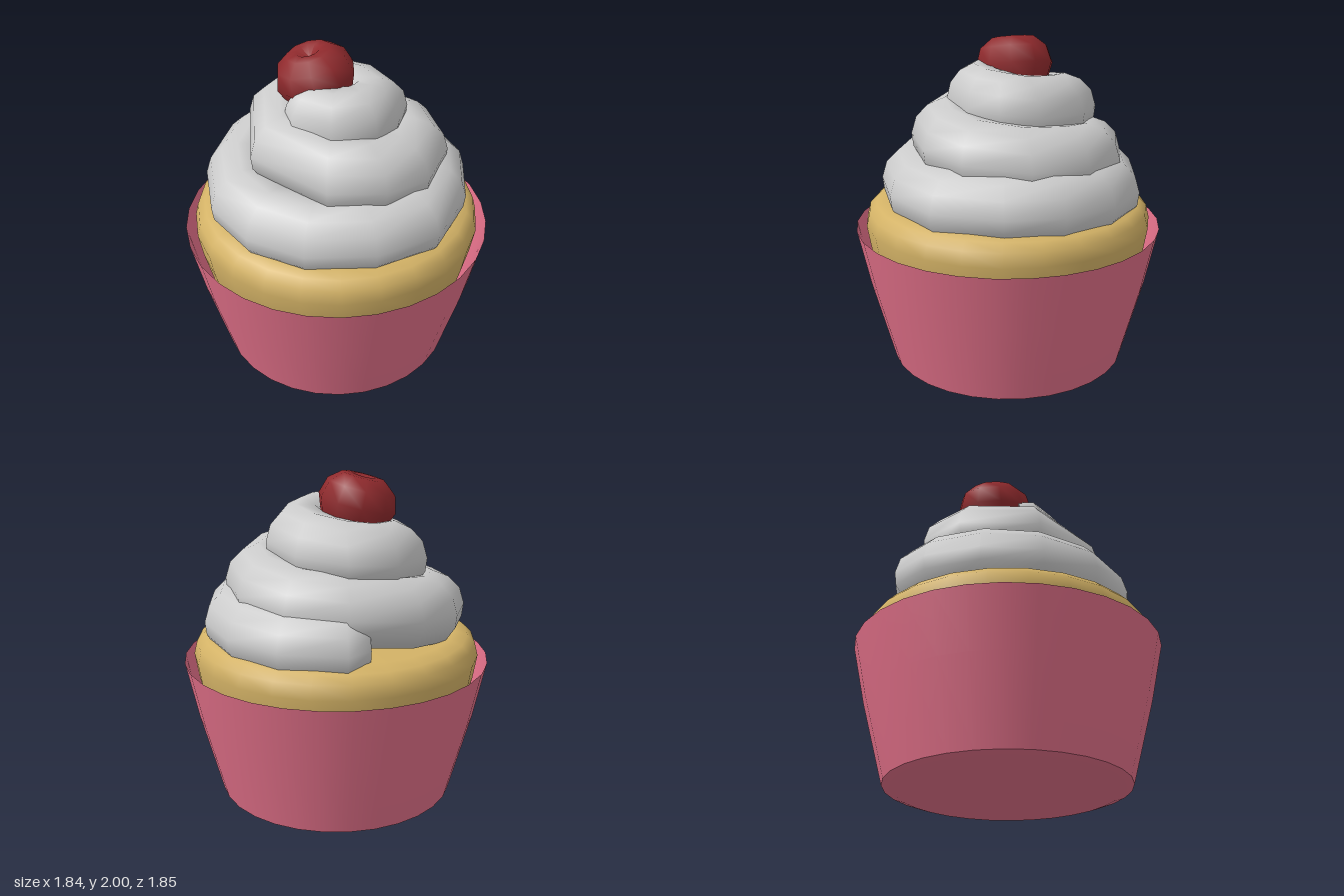
import * as THREE from 'three';
import { toCreasedNormals } from 'three/addons/utils/BufferGeometryUtils.js';

const material = (color) => new THREE.MeshStandardMaterial({ color, side: THREE.DoubleSide });

function lathe(name, points, sides, color, crease) {
  let geometry = new THREE.LatheGeometry(points.map(([r, y]) => new THREE.Vector2(r, y)), sides);
  if (crease) geometry = toCreasedNormals(geometry, crease);
  const mesh = new THREE.Mesh(geometry, material(color));
  mesh.name = name;
  return mesh;
}

// Outer edge of the piped swirl: x, z, height of the widest point
const SWIRL = [
  [-0.12, -0.69, 1.1], [0.02, -0.8, 1.1], [0.4, -0.7, 1.1], [0.66, -0.46, 1.11], [0.79, -0.14, 1.12],
  [0.76, 0.2, 1.12], [0.56, 0.57, 1.12], [0.2, 0.74, 1.12], [-0.2, 0.74, 1.12], [-0.52, 0.58, 1.13],
  [-0.73, 0.3, 1.14], [-0.78, -0.05, 1.16], [-0.66, -0.39, 1.19], [-0.42, -0.62, 1.23], [0, -0.71, 1.27],
  [0.35, -0.59, 1.29], [0.59, -0.33, 1.32], [0.66, 0.02, 1.34], [0.51, 0.38, 1.37], [0.26, 0.55, 1.4],
  [-0.07, 0.57, 1.42], [-0.49, 0.26, 1.46], [-0.51, -0.22, 1.49], [-0.3, -0.48, 1.51], [-0.01, -0.55, 1.54],
  [0.27, -0.39, 1.56], [0.42, -0.09, 1.58], [0.35, 0.13, 1.6], [0.22, 0.29, 1.61], [-0.04, 0.36, 1.62],
  [-0.26, 0.24, 1.62], [-0.3, 0.12, 1.63],
];
// Cross-section of the swirl: inset from the outer edge, height offset
const SECTION = [
  [0.07, -0.15], [0.01, -0.06], [0, 0.02], [0.03, 0.12], [0.1, 0.19], [0.2, 0.23],
  [0.32, 0.22], [0.42, 0.1], [0.4, -0.1], [0.25, -0.17],
];

function swirlGeometry() {
  const position = [], index = [];
  const n = SECTION.length, last = SWIRL.length - 1;
  const addRing = ([x, z, y], size) => {
    const radius = Math.hypot(x, z);
    const squeeze = Math.min(1, radius / 0.46) * size;
    for (const [inset, dy] of SECTION) {
      const k = 1 - (inset * squeeze) / radius;
      position.push(x * k, y + dy * size, z * k);
    }
  };
  SWIRL.forEach((point, i) => addRing(point, i === 0 || i === last ? 0.85 : 1));
  for (let i = 0; i < last; i++) {
    for (let j = 0; j < n; j++) {
      const a = i * n + j, b = i * n + ((j + 1) % n);
      index.push(a, b, a + n, b, b + n, a + n);
    }
  }
  // Flat ends, with their own vertices so the rims stay sharp
  for (const end of [0, last]) {
    const base = position.length / 3;
    addRing(SWIRL[end], 0.85);
    for (let j = 1; j < n - 1; j++) {
      if (end) index.push(base, base + j, base + j + 1);
      else index.push(base, base + j + 1, base + j);
    }
  }
  const geometry = new THREE.BufferGeometry();
  geometry.setAttribute('position', new THREE.Float32BufferAttribute(position, 3));
  geometry.setIndex(index);
  geometry.computeVertexNormals();
  return geometry;
}

export function createModel() {
  const model = new THREE.Group();
  model.name = 'cupcake';

  // Flared paper cup, open at the top
  model.add(lathe('paperCup', [[0, 0], [0.65, 0.005], [0.72, 0.03], [0.85, 0.52], [0.925, 0.87]], 30, 0xe27089, 0.8));

  // Sponge rising just inside the rim
  model.add(lathe('cake', [[0.78, 0.5], [0.84, 0.75], [0.865, 0.9], [0.845, 0.98], [0.8, 1.025], [0.72, 1.05], [0, 1.06]], 24, 0xd3b266));

  // Piped frosting
  const frosting = new THREE.Mesh(swirlGeometry(), material(0xcccccc));
  frosting.name = 'frosting';
  model.add(frosting);

  // Cherry with a dimple, leaning to one side
  const cherry = lathe('cherry', [
    [0, -0.2], [0.11, -0.18], [0.19, -0.1], [0.235, 0.02], [0.205, 0.12], [0.13, 0.18], [0.07, 0.185], [0, 0.14],
  ], 10, 0x902a2d);
  cherry.position.set(-0.11, 1.795, -0.07);
  cherry.rotation.z = 0.25;
  model.add(cherry);

  return model;
}
